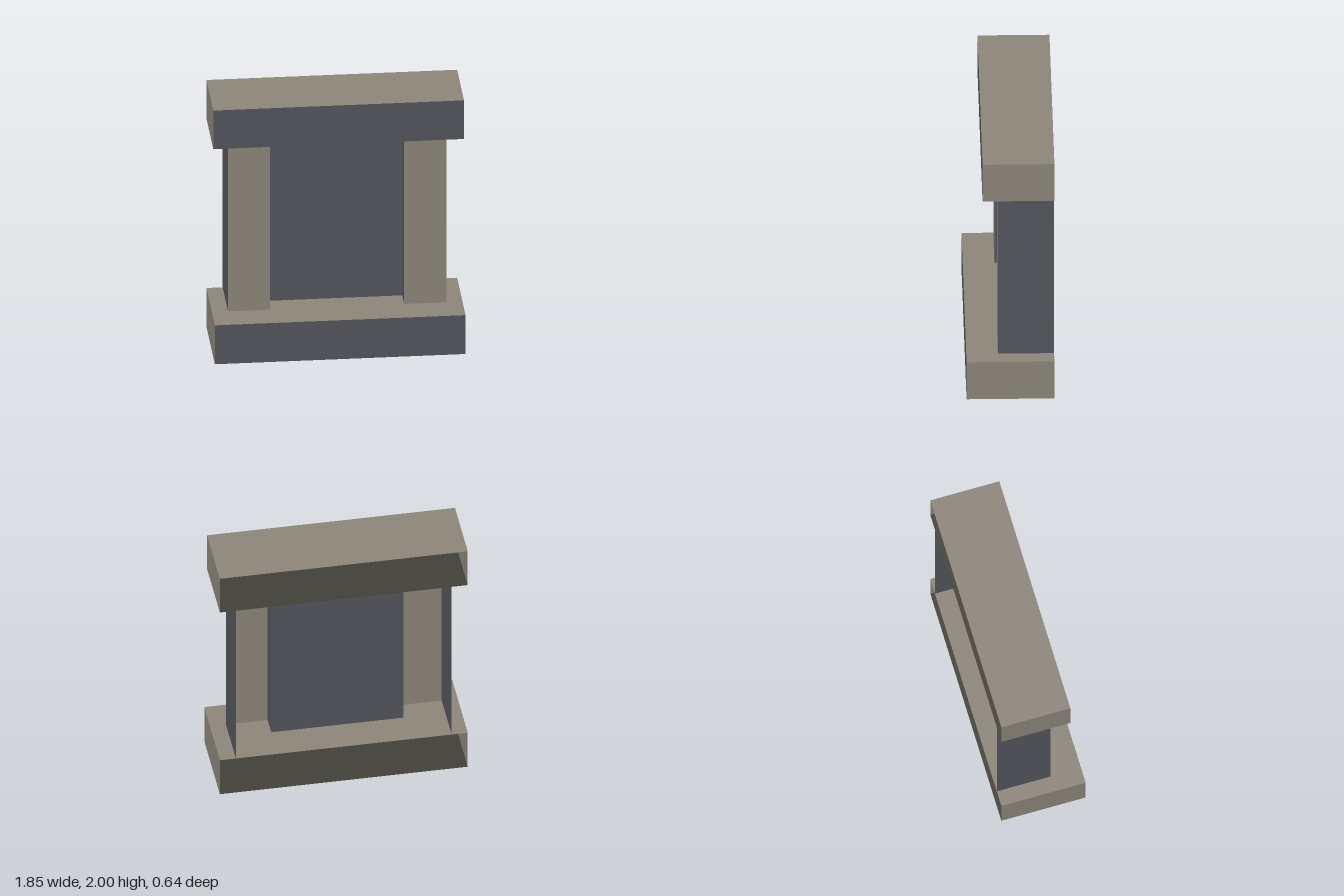
import * as THREE from 'three';

export function createModel() {
  const model = new THREE.Group();
  model.name = 'openBackedFrame';

  const stone = new THREE.MeshStandardMaterial({ color: 0x8d877b, side: THREE.DoubleSide });
  stone.name = 'warmStone';
  const slate = new THREE.MeshStandardMaterial({ color: 0x55565c, side: THREE.DoubleSide });
  slate.name = 'darkSlate';
  const shade = new THREE.MeshStandardMaterial({ color: 0x434239, side: THREE.DoubleSide });
  shade.name = 'darkOlive';

  const BACK = -0.322, BASE_TOP = 0.315, LINTEL_BOTTOM = 1.687;

  // Horizontal slab, open at the back, with a slate front and a dark underside
  function slab(name, y0, y1, front) {
    const geo = new THREE.BoxGeometry(1.845, y1 - y0, front - BACK);
    geo.setIndex(Array.from(geo.index.array).slice(0, 30)); // drop the back face
    geo.groups.pop();
    const mesh = new THREE.Mesh(geo, [stone, stone, stone, shade, slate]);
    mesh.name = name;
    mesh.position.set(0, (y0 + y1) / 2, (front + BACK) / 2);
    model.add(mesh);
  }
  slab('base', 0, BASE_TOP, 0.322);
  slab('lintel', LINTEL_BOTTOM, 2, 0.205);

  // Upright sheet between two plan points [x, z], facing outward
  function wall(name, [x0, z0], [x1, z1], material) {
    const dx = x1 - x0, dz = z1 - z0;
    const geo = new THREE.PlaneGeometry(Math.hypot(dx, dz), LINTEL_BOTTOM - BASE_TOP);
    const mesh = new THREE.Mesh(geo, material);
    mesh.name = name;
    mesh.rotation.y = Math.atan2(-dz, dx);
    mesh.position.set((x0 + x1) / 2, (BASE_TOP + LINTEL_BOTTOM) / 2, (z0 + z1) / 2);
    model.add(mesh);
  }

  // Folded wall: pillar, recessed panel, pillar
  const plan = [
    [-0.803, BACK], [-0.803, 0.09], [-0.493, 0.09], [-0.493, -0.06],
    [0.493, -0.06], [0.493, 0.09], [0.803, 0.09], [0.803, BACK],
  ];
  const parts = [
    ['rightPillarOuterSide', slate], ['rightPillarFront', stone], ['rightPillarInnerSide', slate],
    ['recessedPanel', slate],
    ['leftPillarInnerSide', slate], ['leftPillarFront', stone], ['leftPillarOuterSide', slate],
  ];
  parts.forEach(([name, material], i) => wall(name, plan[i], plan[i + 1], material));

  return model;
}
